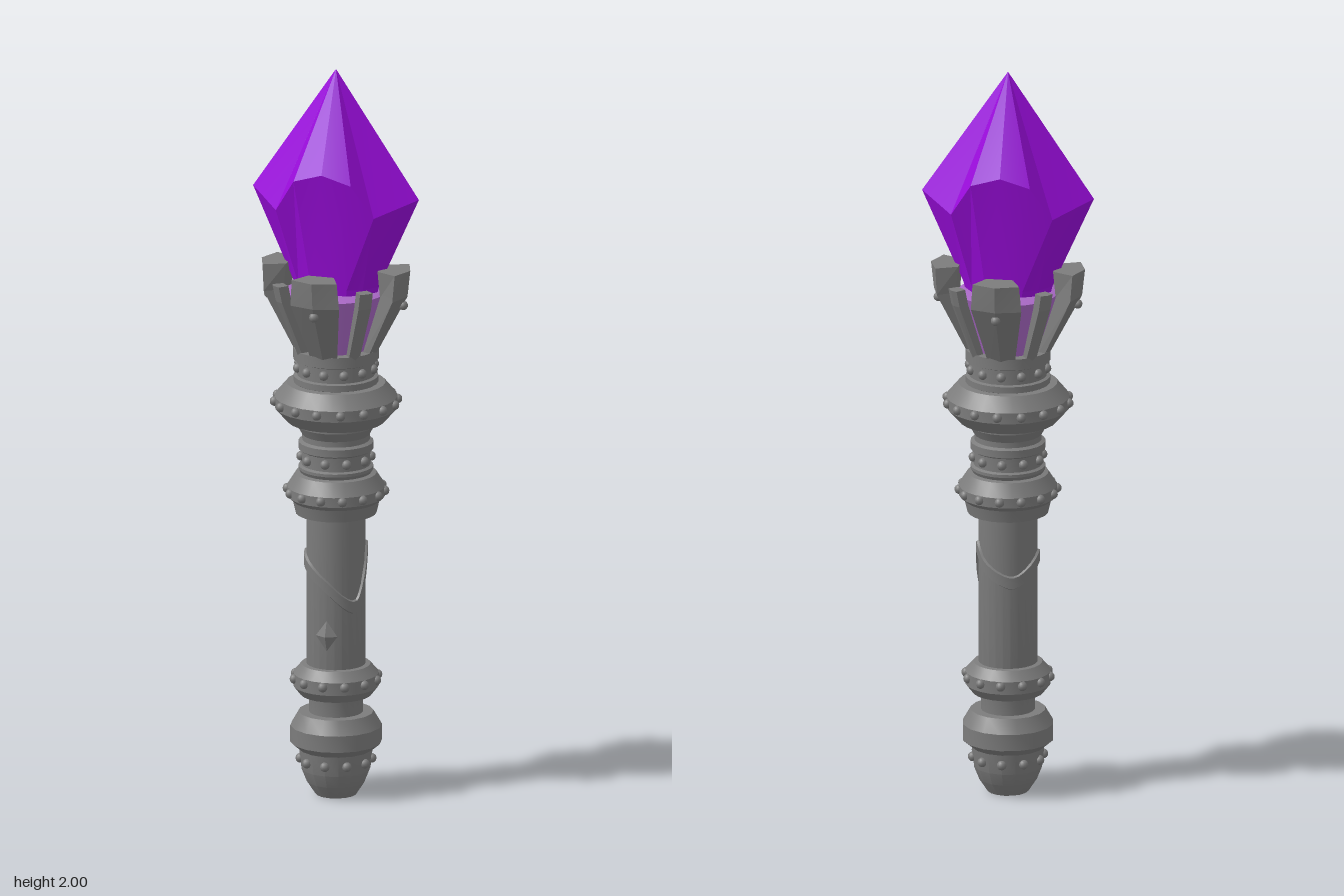
import * as THREE from 'three';
import { toCreasedNormals } from 'three/addons/utils/BufferGeometryUtils.js';

const metal = new THREE.MeshStandardMaterial({ color: 0x7c7c7c });
metal.name = 'grey metal';
const violet = new THREE.MeshStandardMaterial({ color: 0x9a0cdc });
violet.name = 'violet crystal';
const lilac = new THREE.MeshStandardMaterial({ color: 0xa868c4 });
lilac.name = 'lilac glow';

// Skin through rings of points (counter-clockwise from above, bottom to top)
function loft(rings, crease = 0.1, closed = false) {
  const n = rings[0].length, pos = rings.flat(2), idx = [];
  const last = closed ? rings.length : rings.length - 1;
  for (let i = 0; i < last; i++) {
    const k = (i + 1) % rings.length;
    for (let j = 0; j < n; j++) {
      const a = i * n + j, b = i * n + (j + 1) % n;
      const d = k * n + j, c = k * n + (j + 1) % n;
      idx.push(a, b, c, a, c, d);
    }
  }
  if (!closed) {
    const t = (rings.length - 1) * n;
    for (let j = 1; j < n - 1; j++) idx.push(0, j + 1, j, t, t + j, t + j + 1);
  }
  const g = new THREE.BufferGeometry();
  g.setAttribute('position', new THREE.Float32BufferAttribute(pos, 3));
  g.setIndex(idx);
  return toCreasedNormals(g, crease);
}

// Quarter outline [x, y, z] from front to side, mirrored to a full ring
function mirrorRing(q) {
  const back = q.slice(0, -1).reverse().map(([x, y, z]) => [x, y, -z]);
  const half = [...q, ...back];
  const left = half.slice(1, -1).reverse().map(([x, y, z]) => [-x, y, z]);
  return [...half, ...left];
}

// Pentagonal prong section: outer ridge, shoulders, inner edge
const section = (y, w, wi, zo, zm, zi) =>
  [[0, y, zo], [w, y, zm], [wi, y, zi], [-wi, y, zi], [-w, y, zm]];

export function createModel() {
  const model = new THREE.Group();
  model.name = 'crystalSceptre';
  const add = (name, geometry, material, parent = model) => {
    const m = new THREE.Mesh(geometry, material);
    m.name = name;
    parent.add(m);
    return m;
  };
  const turned = (name, pts, material = metal, seg = 24) => add(name, toCreasedNormals(
    new THREE.LatheGeometry(pts.map(p => new THREE.Vector2(p[0], p[1])), seg), 0.4), material);

  // Turned handle, from pommel to cup
  turned('pommel', [[0, 0], [0.055, 0], [0.078, 0.035], [0.092, 0.07], [0.098, 0.125],
    [0.122, 0.145], [0.122, 0.19], [0.1, 0.228], [0, 0.228]], metal, 16);
  turned('shaft', [[0.072, 0.22], [0.072, 0.28], [0.079, 0.3], [0.079, 0.79]]);
  turned('lowerCollar', [[0.07, 0.272], [0.095, 0.276], [0.114, 0.3], [0.114, 0.335],
    [0.092, 0.36], [0.075, 0.362]]);
  turned('middleCollar', [[0.07, 0.778], [0.108, 0.778], [0.116, 0.812], [0.131, 0.825],
    [0.131, 0.852], [0.108, 0.888], [0.09, 0.892]]);
  turned('neck', [[0.092, 0.885], [0.1, 0.9], [0.1, 0.908], [0.092, 0.912], [0.092, 0.95],
    [0.1, 0.955], [0.1, 0.975], [0.09, 0.98], [0.09, 0.995], [0.104, 1.02], [0.104, 1.04]]);
  turned('upperCollar', [[0.09, 1.028], [0.13, 1.032], [0.164, 1.07], [0.164, 1.1],
    [0.132, 1.138], [0.1, 1.14]]);
  turned('cupBand', [[0.105, 1.135], [0.113, 1.14], [0.113, 1.157], [0.104, 1.16], [0.104, 1.2],
    [0.114, 1.204], [0.114, 1.234], [0, 1.234]]);

  // Rows of round studs
  const studGeo = new THREE.SphereGeometry(0.013, 10, 8);
  const studs = new THREE.Group();
  studs.name = 'studs';
  model.add(studs);
  for (const [y, r, n] of [[0.097, 0.095, 10], [0.322, 0.113, 12], [0.84, 0.13, 14],
    [0.932, 0.093, 10], [1.087, 0.164, 16], [1.181, 0.104, 12]]) {
    for (let i = 0; i < n; i++) {
      const a = i / n * Math.PI * 2;
      add('stud', studGeo, metal, studs).position.set(Math.sin(a) * r, y, Math.cos(a) * r);
    }
  }

  // Raised ribbon winding round the shaft: [angle, height]
  const path = new THREE.CatmullRomCurve3([[0, 0.59], [60, 0.535], [85, 0.61], [105, 0.68],
    [140, 0.64], [200, 0.6], [270, 0.655], [320, 0.63]].map(([d, y]) => {
    const a = THREE.MathUtils.degToRad(d);
    return new THREE.Vector3(Math.sin(a), y, Math.cos(a));
  }), true);
  const ribbon = path.getPoints(48).slice(0, -1).map(p => {
    const l = Math.hypot(p.x, p.z);
    return [[0.075, -0.02], [0.085, -0.015], [0.085, 0.015], [0.075, 0.02]]
      .map(([r, dy]) => [p.x / l * r, p.y + dy, p.z / l * r]).reverse();
  });
  add('shaftRibbon', loft(ribbon.map(r => r.reverse()).reverse(), 0.5, true), metal);

  // Small diamond on the front of the shaft
  const diamond = add('shaftDiamond', new THREE.OctahedronGeometry(1, 0), metal);
  diamond.scale.set(0.03, 0.042, 0.016);
  diamond.position.set(0, 0.455, 0.079);

  // Glowing cone inside the cup
  turned('cupGlow', [[0.085, 1.23], [0.128, 1.37], [0.134, 1.39], [0.12, 1.395], [0, 1.39]], lilac);

  // Four broad prongs with four thin ones between
  const broad = loft([section(1.22, 0.036, 0.025, 0.11, 0.1, 0.08),
    section(1.39, 0.068, 0.036, 0.2, 0.18, 0.135),
    section(1.462, 0.063, 0.036, 0.208, 0.185, 0.128)]);
  const thin = loft([section(1.22, 0.016, 0.014, 0.112, 0.105, 0.085),
    section(1.38, 0.019, 0.016, 0.175, 0.17, 0.14),
    section(1.425, 0.019, 0.016, 0.185, 0.18, 0.15)]);
  for (let i = 0; i < 4; i++) {
    const pair = new THREE.Group();
    pair.name = 'prongPair';
    pair.rotation.y = i * Math.PI / 2;
    model.add(pair);
    add('broadProng', broad, metal, pair);
    add('prongStud', studGeo, metal, pair).position.set(0, 1.365, 0.188);
    add('thinProng', thin, metal, pair).rotation.y = Math.PI / 4;
  }

  // Faceted crystal, broad in x and flat in z
  const base = [[0, 1.41, 0.065], [0.05, 1.41, 0.062], [0.09, 1.41, 0.045], [0.12, 1.41, 0]];
  const girdle = [[0, 1.74, 0.124], [0.08, 1.715, 0.118], [0.137, 1.625, 0.096], [0.232, 1.66, 0]];
  const foot = base.map(([x, , z]) => [x * 0.65, 1.24, z * 0.7]);
  const tip = girdle.map(([x, , z]) => [x * 0.005, 2, z * 0.005]);
  add('crystal', loft([foot, base, girdle, tip].map(mirrorRing), 0.15), violet);

  return model;
}
